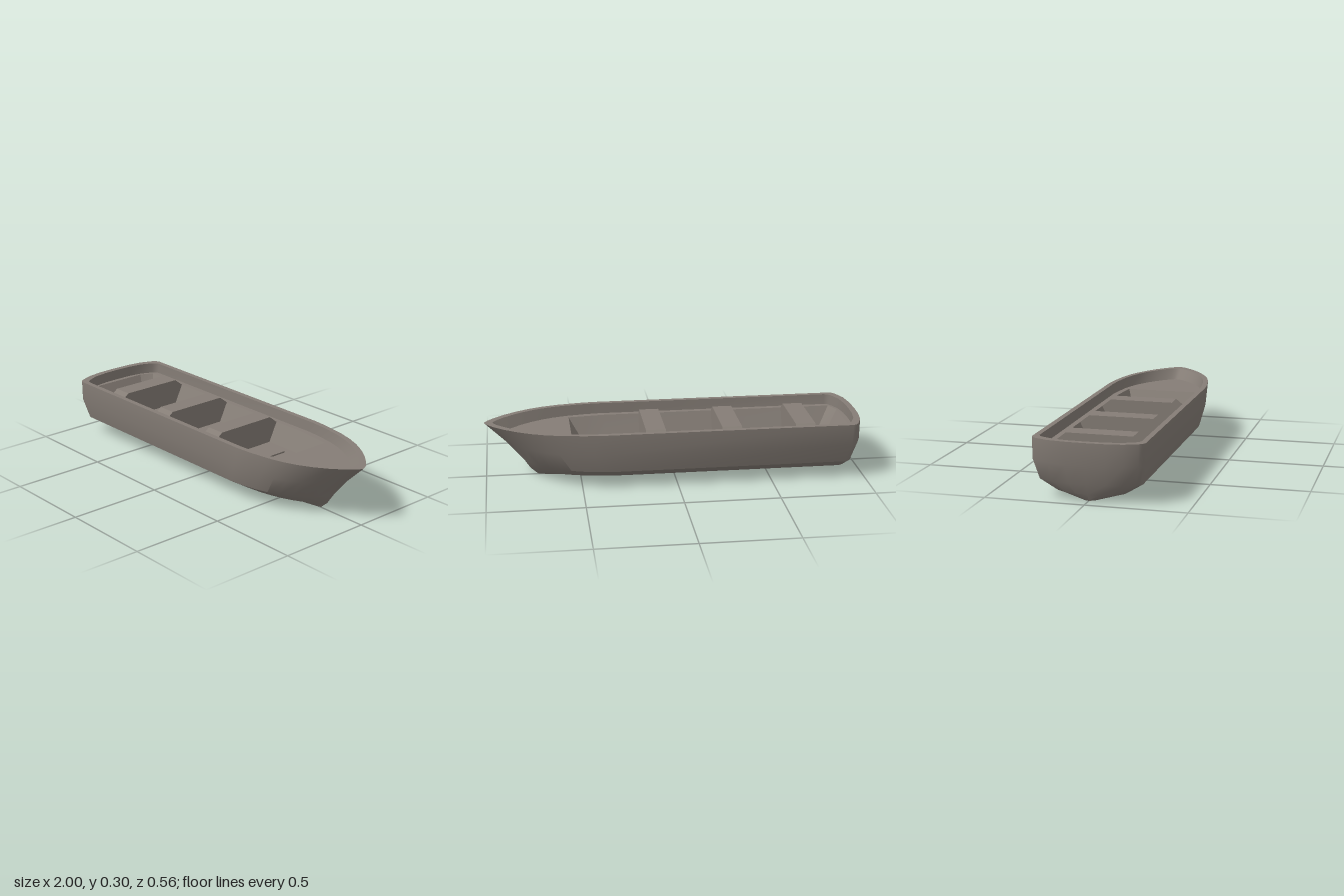
import * as THREE from 'three';
import { toCreasedNormals } from 'three/addons/utils/BufferGeometryUtils.js';

const LEDGE = 0.243, FLOOR = 0.14, SEAT = 0.282;

// Half outline in plan: stern points as [offset from stern, width factor],
// bow points as [fraction along the taper, width factor]
const STERN = [[0, 0], [0.003, 0.35], [0.015, 0.66], [0.042, 0.9], [0.055, 0.965], [0.075, 1]];
const BOW = [[0, 1], [0.14, 0.975], [0.34, 0.91], [0.48, 0.83], [0.6, 0.73], [0.72, 0.59],
  [0.82, 0.44], [0.91, 0.27], [0.97, 0.13], [0.99, 0.06], [1, 0]];

// Mirror a half outline into a closed loop, skipping points on the centre line
function mirrorLoop(half) {
  const back = half.filter((p) => p.z > 0).reverse().map((p) => new THREE.Vector3(p.x, p.y, -p.z));
  return [...half, ...back];
}

// One hull outline at a height, from stern x to bow x, tapering from x0
function outline(y, w, xs, xb, x0) {
  const pts = [
    ...STERN.map(([d, f]) => [xs + d, f]),
    ...BOW.map(([t, f]) => [x0 + t * (xb - x0), f]),
  ];
  return mirrorLoop(pts.map(([x, f]) => new THREE.Vector3(x, y, w * f)));
}

// Skin a series of closed loops that have equal point counts
function loft(loops, crease) {
  const n = loops[0].length, pos = [], idx = [];
  loops.forEach((loop) => loop.forEach((p) => pos.push(p.x, p.y, p.z)));
  for (let i = 0; i < loops.length - 1; i++) {
    for (let j = 0; j < n; j++) {
      const k = (j + 1) % n;
      const a = i * n + j, b = i * n + k, c = b + n, d = a + n;
      idx.push(a, b, c, a, c, d);
    }
  }
  const geo = new THREE.BufferGeometry();
  geo.setAttribute('position', new THREE.Float32BufferAttribute(pos, 3));
  geo.setIndex(idx);
  return toCreasedNormals(geo, crease);
}

// Horizontal sheet facing up, with an optional hole
function sheet(loop, y, hole) {
  const flat = (l) => l.map((p) => new THREE.Vector2(p.x, -p.z));
  const shape = new THREE.Shape(flat(loop));
  if (hole) shape.holes.push(new THREE.Path(flat(hole)));
  return new THREE.ShapeGeometry(shape).rotateX(-Math.PI / 2).translate(0, y, 0);
}

export function createModel() {
  const boat = new THREE.Group();
  boat.name = 'rowingBoat';
  const paint = new THREE.MeshStandardMaterial({ color: 0x857d76 });
  paint.name = 'warm grey';
  const add = (name, geo) => {
    const mesh = new THREE.Mesh(geo, paint);
    mesh.name = name;
    boat.add(mesh);
  };

  // Hull from keel up, over the rim and down to the ledge
  const deckEdge = outline(LEDGE, 0.25, -0.968, 0.9, 0.38);
  add('hull', loft([
    outline(0, 0.001, -0.93, 0.72, 0.25),
    outline(0.002, 0.05, -0.93, 0.725, 0.25),
    outline(0.037, 0.175, -0.95, 0.765, 0.28),
    outline(0.09, 0.258, -0.967, 0.8, 0.33),
    outline(0.19, 0.28, -0.998, 0.885, 0.37),
    outline(0.3, 0.28, -1, 1, 0.4),
    outline(0.3, 0.252, -0.968, 0.955, 0.4),
    deckEdge,
  ], 0.6));

  // Sunken well with sloping walls
  const wellLoop = (y, pts) => mirrorLoop(pts.map(([x, z]) => new THREE.Vector3(x, y, z)));
  const wellTop = wellLoop(LEDGE, [[-0.942, 0.15], [-0.91, 0.22], [0.35, 0.22], [0.545, 0.2]]);
  const wellBottom = wellLoop(FLOOR, [[-0.885, 0.12], [-0.85, 0.17], [0.35, 0.17], [0.485, 0.16]]);
  add('ledgeAndForedeck', sheet(deckEdge, LEDGE, wellTop));
  add('wellWalls', loft([wellTop, wellBottom], 0.3));
  add('floor', sheet(wellBottom, FLOOR));

  // Three solid bench seats with sloping ends
  const section = new THREE.Shape([[-0.17, FLOOR], [0.17, FLOOR], [0.22, LEDGE],
    [0.17, SEAT], [-0.17, SEAT], [-0.22, LEDGE]].map(([z, y]) => new THREE.Vector2(z, y)));
  [-0.745, -0.35, 0.055].forEach((x, i) => {
    const seat = new THREE.ExtrudeGeometry(section, { depth: 0.105, bevelEnabled: false });
    add(`seat${i + 1}`, seat.rotateY(Math.PI / 2).translate(x, 0, 0));
  });

  // Low foot brace on the floor
  add('footBrace', new THREE.BoxGeometry(0.006, 0.008, 0.25).translate(0.32, FLOOR + 0.004, 0));

  return boat;
}
